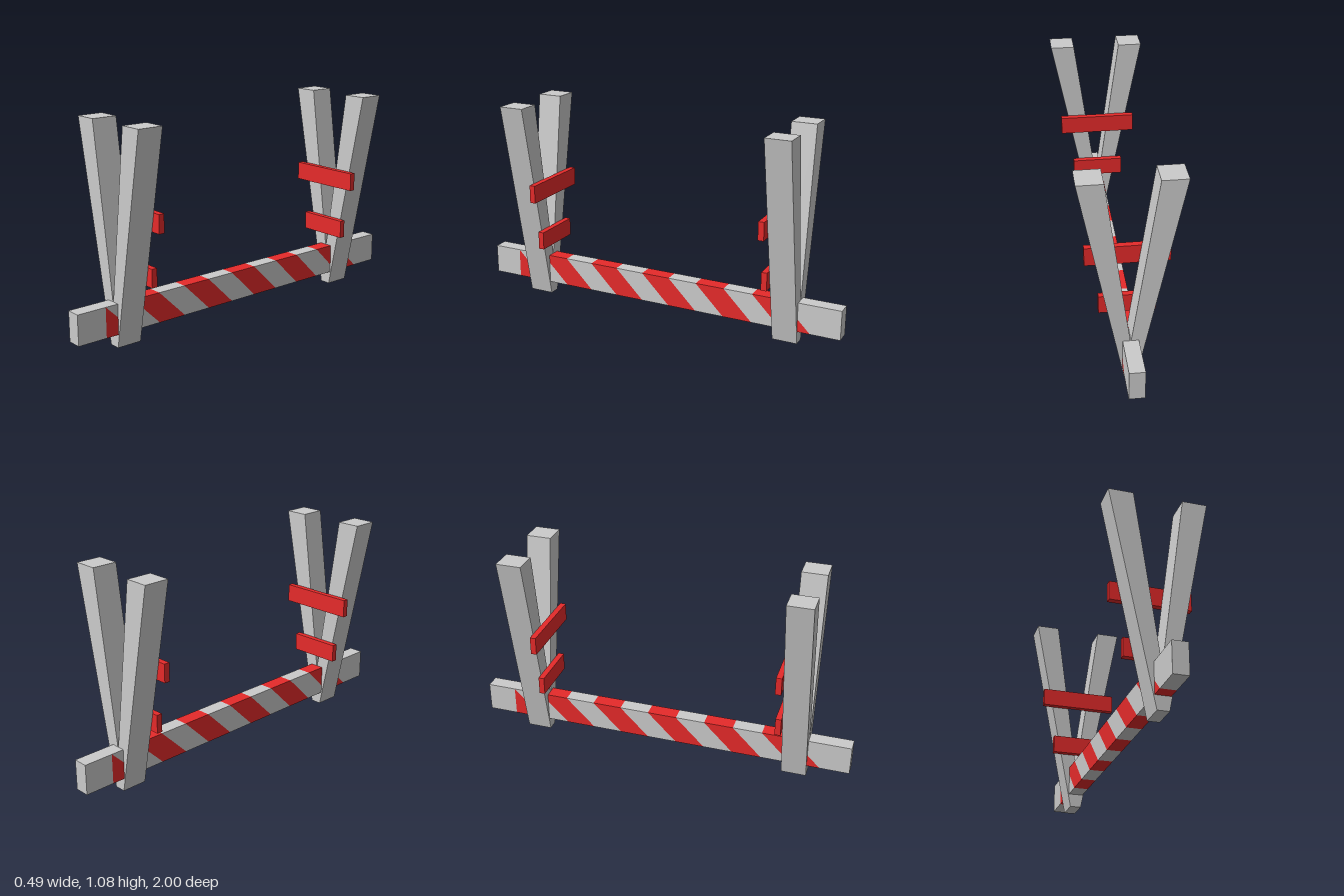
import * as THREE from 'three';

const grey = new THREE.MeshStandardMaterial({ color: 0xcccccc, flatShading: true });
const red = new THREE.MeshStandardMaterial({ color: 0xe62a2a, flatShading: true });

const W = 0.038, TOP = 0.224, BOTTOM = 0.07; // beam half width and heights
const P = 0.154;                             // stripe pitch along the beam
const POST_IN = 0.65, POST_OUT = 0.78;       // z range of each post

function add(parent, name, geometry, material, x = 0, y = 0, z = 0) {
  const mesh = new THREE.Mesh(geometry, material);
  mesh.name = name;
  mesh.position.set(x, y, z);
  parent.add(mesh);
  return mesh;
}

// One lengthwise half of the beam's skin, cut into slanted bands of alternating colour
function beamHalf() {
  const half = new THREE.Group();
  half.name = 'beamHalf';

  // Band edges as [z along the top, z along the bottom]
  const edges = [[-1, -1]];
  for (let k = -4; k <= 6; k++) edges.push([(k - 0.5) * P, (k - 1.5) * P]);
  edges.push([5.5 * P, 5.5 * P], [1, 1]);

  // Section: top centre, top corner, bottom corner, bottom centre
  const section = ([t, b]) => [
    new THREE.Vector3(0, TOP, t), new THREE.Vector3(W, TOP, t),
    new THREE.Vector3(W, BOTTOM, b), new THREE.Vector3(0, BOTTOM, b),
  ];
  const points = [[], []]; // grey, red
  for (let j = 0; j < edges.length - 1; j++) {
    const a = section(edges[j]), b = section(edges[j + 1]);
    for (let i = 0; i < 3; i++) {
      for (const tri of [[a[i], b[i], b[i + 1]], [a[i], b[i + 1], a[i + 1]]]) {
        if (new THREE.Triangle(...tri).getArea() > 1e-7) points[j % 2].push(...tri);
      }
    }
  }
  points.forEach((list, i) => {
    const geometry = new THREE.BufferGeometry().setFromPoints(list);
    geometry.computeVertexNormals();
    add(half, i ? 'redStripes' : 'greyStripes', geometry, i ? red : grey);
  });

  add(half, 'beamEnd', new THREE.PlaneGeometry(2 * W, TOP - BOTTOM), grey, 0, (TOP + BOTTOM) / 2, 1);
  return half;
}

// V-shaped post with two slats on its inner face
function postAssembly() {
  const group = new THREE.Group();
  group.name = 'postAssembly';

  const v = new THREE.Shape([
    [-0.029, 0], [0.029, 0], [0.243, 1.08], [0.121, 1.08],
    [0, 0.21], [-0.121, 1.08], [-0.243, 1.08],
  ].map(([x, y]) => new THREE.Vector2(x, y)));
  add(group, 'vPost', new THREE.ExtrudeGeometry(v, { depth: POST_OUT - POST_IN, bevelEnabled: false }),
    grey, 0, 0, POST_IN);

  for (const [name, width, y] of [['upperSlat', 0.4, 0.621], ['lowerSlat', 0.272, 0.344]]) {
    add(group, name, new THREE.BoxGeometry(width, 0.094, 0.03), red, 0, y, POST_IN - 0.015);
  }
  return group;
}

export function createModel() {
  const model = new THREE.Group();
  model.name = 'stripedBarrier';

  // Both ends and both sides repeat by a half turn about the vertical axis
  for (const turn of [0, Math.PI]) {
    for (const part of [beamHalf(), postAssembly()]) {
      part.rotation.y = turn;
      model.add(part);
    }
  }
  return model;
}
